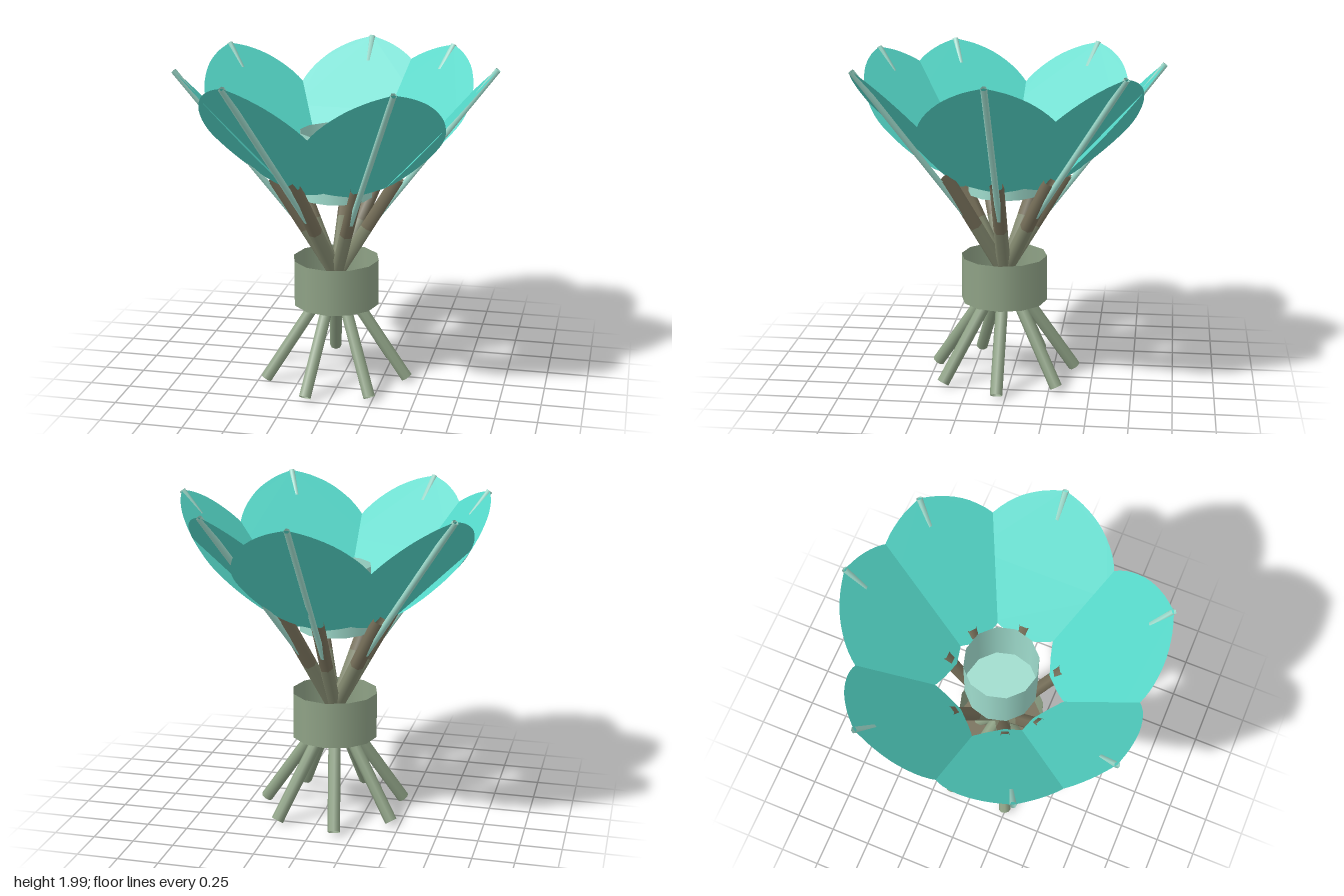
import * as THREE from 'three';

const mat = (name, color) =>
  new THREE.MeshStandardMaterial({ name, color, side: THREE.DoubleSide });

// Open tube between two points [radius, height] in the x-y plane
function tube(name, from, to, radius, sides, material) {
  const a = new THREE.Vector3(from[0], from[1], 0);
  const b = new THREE.Vector3(to[0], to[1], 0);
  const dir = b.clone().sub(a);
  const mesh = new THREE.Mesh(
    new THREE.CylinderGeometry(radius, radius, dir.length(), sides, 1, true), material);
  mesh.position.copy(a).add(b).multiplyScalar(0.5);
  mesh.quaternion.setFromUnitVectors(new THREE.Vector3(0, 1, 0), dir.normalize());
  mesh.name = name;
  return mesh;
}

// Flat leaf outline, one unit long, tip at the top
function petalGeometry() {
  const half = [[0.2, 0.08], [0.33, 0.24], [0.41, 0.42], [0.425, 0.56],
    [0.37, 0.72], [0.26, 0.86], [0.13, 0.95]];
  const right = half.map(([x, y]) => new THREE.Vector2(x, y));
  const left = half.map(([x, y]) => new THREE.Vector2(-x, y)).reverse();
  const shape = new THREE.Shape();
  shape.moveTo(0, 0);
  shape.splineThru([...right, new THREE.Vector2(0, 1)]);
  shape.splineThru([...left, new THREE.Vector2(0, 0)]);
  return new THREE.ShapeGeometry(shape, 3);
}

// Cylinder wall with a floor and an open top
function openCylinder(name, radius, bottom, top, sides, material, floorMaterial) {
  const g = new THREE.Group();
  g.name = name;
  const wall = new THREE.Mesh(
    new THREE.CylinderGeometry(radius, radius, top - bottom, sides, 1, true), material);
  wall.position.y = (top + bottom) / 2;
  wall.name = name + 'Wall';
  const floor = new THREE.Mesh(new THREE.CircleGeometry(radius, sides), floorMaterial);
  // line the floor corners up with the wall corners
  floor.rotation.set(-Math.PI / 2, 0, Math.PI / 2);
  floor.position.y = bottom;
  floor.name = name + 'Floor';
  g.add(wall, floor);
  return g;
}

export function createModel() {
  const model = new THREE.Group();
  model.name = 'flower';
  const green = mat('sageGreen', 0x8fa286);
  const brown = mat('oliveBrown', 0x77705a);
  const mid = mat('mutedOlive', 0x848a70);
  const teal = mat('petalTeal', 0x54d6c7);
  const pale = mat('paleTeal', 0x9fdccd);

  // Everything is arranged around one slightly off-centre axis
  const axis = new THREE.Group();
  axis.name = 'bouquet';
  axis.position.set(-0.045, 0, 0.053);
  model.add(axis);

  // Binding ring and central cup
  axis.add(openCylinder('binding', 0.265, 0.49, 0.775, 12, green, brown));
  axis.add(openCylinder('cup', 0.22, 1.17, 1.57, 12, pale, pale));

  // Lower stems, evenly spread
  for (let i = 0; i < 7; i++) {
    const foot = new THREE.Group();
    foot.name = 'lowerStem' + (i + 1);
    foot.rotation.y = (i * Math.PI * 2) / 7;
    foot.add(tube('lowerStemTube', [0.446, 0.022], [0, 0.68], 0.038, 8, green));
    axis.add(foot);
  }

  // Upper stems, each with a rib and a petal
  const petalShape = petalGeometry();
  const base = new THREE.Vector3(0.29, 1.235, 0);
  const tip = new THREE.Vector3(0.955, 1.98, 0);
  const along = tip.clone().sub(base);
  const length = along.length();
  along.normalize();
  const across = new THREE.Vector3(0, 0, 1);
  const basis = new THREE.Matrix4().makeBasis(across, along, across.clone().cross(along));

  [0, 51.5, 88, 147, 206, 242, 301].forEach((deg, i) => {
    const branch = new THREE.Group();
    branch.name = 'branch' + (i + 1);
    branch.rotation.y = THREE.MathUtils.degToRad(deg);

    branch.add(tube('stemBase', [0, 0.66], [0.19, 0.98], 0.043, 6, mid));
    branch.add(tube('stemTop', [0.19, 0.98], [0.38, 1.3], 0.043, 6, brown));
    branch.add(tube('petalRib', [0.14, 0.9], [0.955, 1.978], 0.019, 6, pale));

    const petal = new THREE.Mesh(petalShape, teal);
    petal.name = 'petal';
    petal.quaternion.setFromRotationMatrix(basis);
    petal.position.copy(base);
    petal.scale.y = length;
    branch.add(petal);
    axis.add(branch);
  });

  return model;
}
